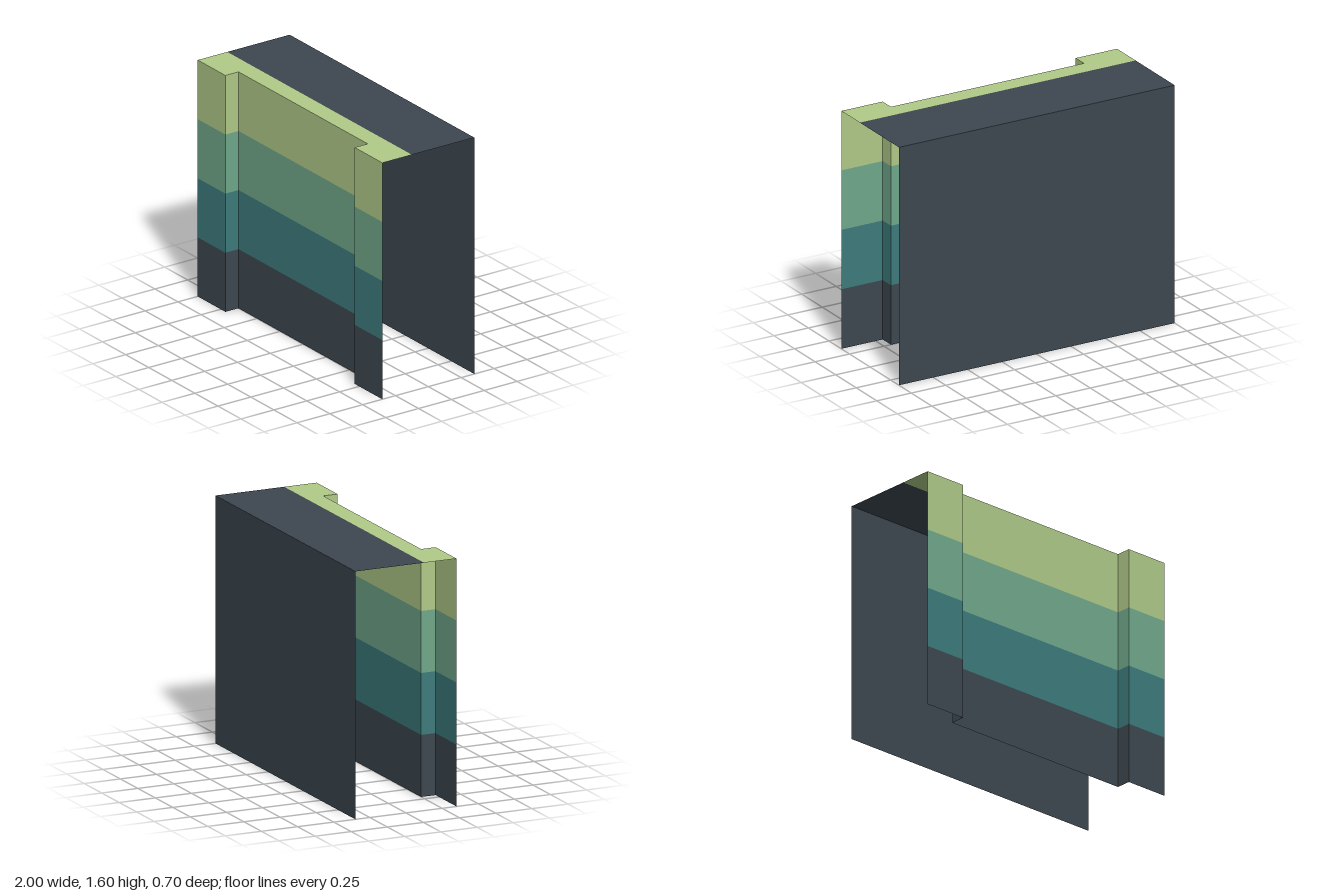
import * as THREE from 'three';

const H = 1.6, BACK = -0.35, RECESS = 0.25, FRONT = 0.35, SEAM = 0.125, PIER = 0.7;

// Plan outline of the front wall, from right (-x) to left (+x): pier, recess, pier.
const PLAN = [[-1, FRONT], [-PIER, FRONT], [-PIER, RECESS], [PIER, RECESS], [PIER, FRONT], [1, FRONT]];

function makeMaterial(name, color) {
  const material = new THREE.MeshStandardMaterial({ color, side: THREE.DoubleSide });
  material.name = name;
  return material;
}

// Upright folded sheet that follows a plan outline between two heights.
function sheet(plan, y0, y1) {
  const pos = [];
  for (let i = 0; i < plan.length - 1; i++) {
    const [ax, az] = plan[i], [bx, bz] = plan[i + 1];
    pos.push(ax, y0, az, bx, y0, bz, bx, y1, bz, ax, y0, az, bx, y1, bz, ax, y1, az);
  }
  const geometry = new THREE.BufferGeometry();
  geometry.setAttribute('position', new THREE.Float32BufferAttribute(pos, 3));
  geometry.computeVertexNormals();
  return geometry;
}

// Flat horizontal sheet at roof height, from a plan outline.
function slab(plan) {
  const shape = new THREE.Shape(plan.map(([x, z]) => new THREE.Vector2(x, -z)));
  return new THREE.ShapeGeometry(shape).rotateX(-Math.PI / 2).translate(0, H, 0);
}

export function createModel() {
  const slate = makeMaterial('slate', 0x3d4750);
  const teal = makeMaterial('teal', 0x3d7b7c);
  const mint = makeMaterial('mint', 0x70a88b);
  const lime = makeMaterial('lime', 0xb0ca88);

  const model = new THREE.Group();
  model.name = 'bandedWall';
  const add = (name, geometry, material) => {
    const mesh = new THREE.Mesh(geometry, material);
    mesh.name = name;
    model.add(mesh);
  };

  // Front wall in four equal bands
  [slate, teal, mint, lime].forEach((material, i) => {
    add(`${material.name}FrontBand`, sheet(PLAN, i * H / 4, (i + 1) * H / 4), material);
  });

  // Back wall; the ends and the underside stay open
  add('backWall', sheet([[1, BACK], [-1, BACK]], 0, H), slate);

  // Top, split lengthwise into two colours
  add('topFront', slab([...PLAN, [1, SEAM], [-1, SEAM]]), lime);
  add('topRear', slab([[-1, SEAM], [1, SEAM], [1, BACK], [-1, BACK]]), slate);

  return model;
}
